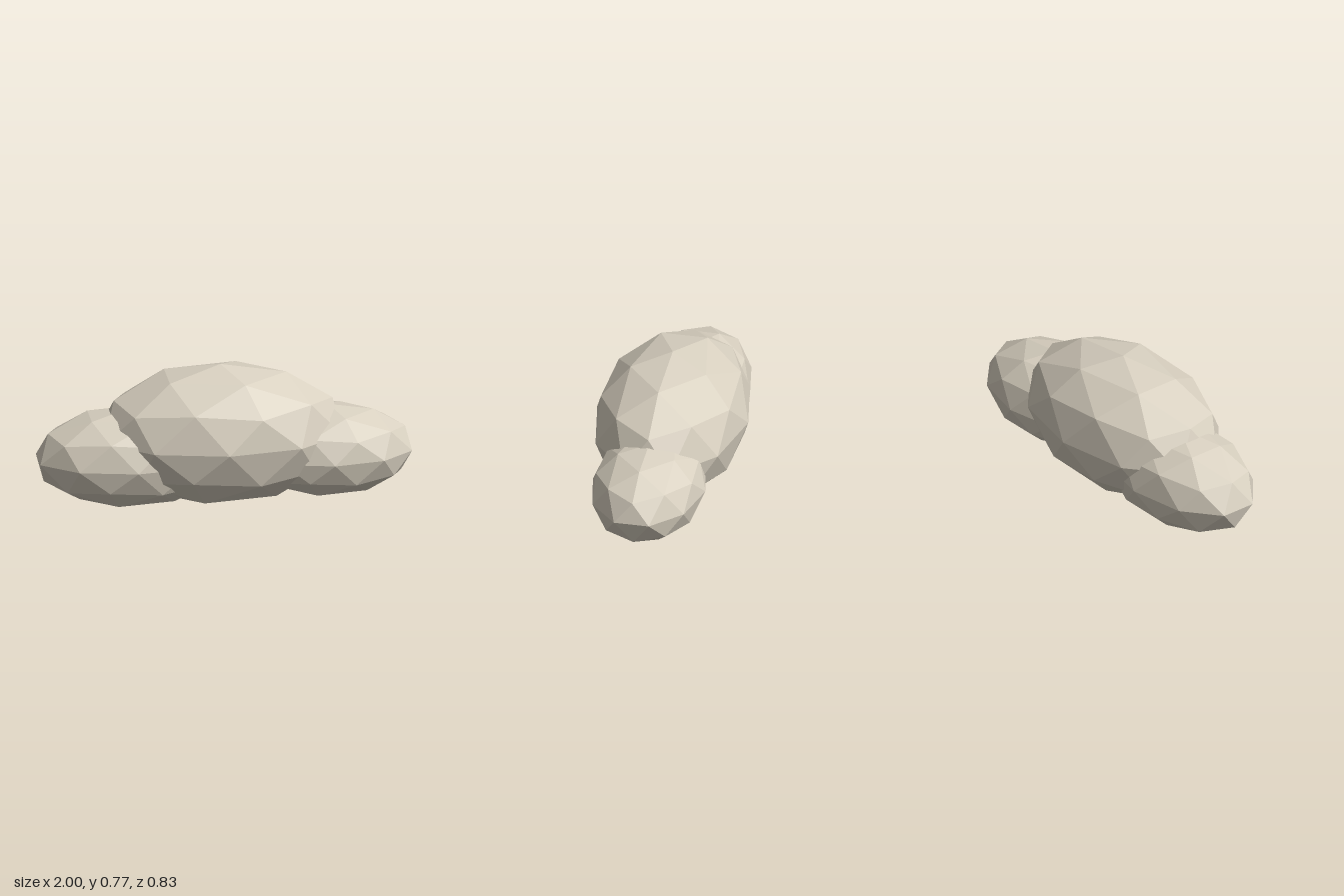
import * as THREE from 'three';

// Faceted ball with a corner at each pole and an upper corner pointing to +x
function facetedBall() {
  const geometry = new THREE.IcosahedronGeometry(1, 1);
  geometry.rotateZ(-Math.atan(2 / (1 + Math.sqrt(5))));
  return geometry;
}

export function createModel() {
  const group = new THREE.Group();
  group.name = 'boulderCluster';

  const stone = new THREE.MeshStandardMaterial({ color: 0xd8d0c0, flatShading: true });
  stone.name = 'pale warm stone';

  // Each boulder: name, centre, radii
  const boulders = [
    ['middleBoulder', [-0.02, 0.385, 0], [0.675, 0.385, 0.413]],
    ['rightBoulder', [-0.5, 0.273, 0], [0.526, 0.273, 0.315]],
    ['leftBoulder', [0.56, 0.27, 0], [0.463, 0.25, 0.308]],
  ];
  for (const [name, centre, radii] of boulders) {
    const geometry = facetedBall().scale(...radii);
    geometry.computeVertexNormals();
    const mesh = new THREE.Mesh(geometry, stone);
    mesh.name = name;
    mesh.position.set(...centre);
    group.add(mesh);
  }
  return group;
}
